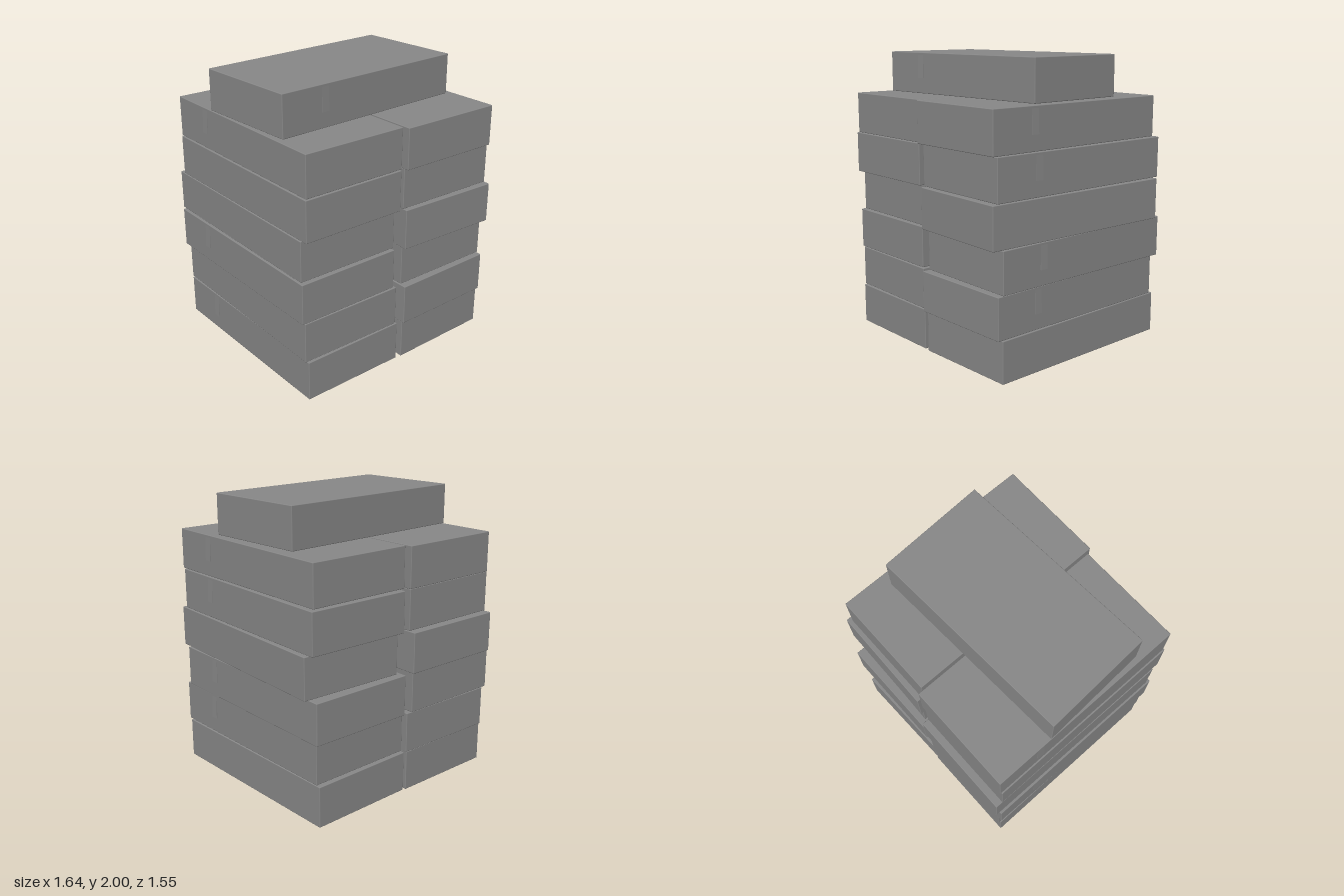
import * as THREE from 'three';
import { RoundedBoxGeometry } from 'three/addons/geometries/RoundedBoxGeometry.js';

const LENGTH = 1.453, HEIGHT = 0.284, WIDTH = 0.763, LAYER = 2 / 7;

export function createModel() {
  const group = new THREE.Group();
  const material = new THREE.MeshStandardMaterial({ color: 0x888888 });
  const boxGeometry = new RoundedBoxGeometry(LENGTH, HEIGHT, WIDTH, 2, 0.005);
  const tapeGeometry = new THREE.BoxGeometry(0.055, 0.17, 0.006);

  // One carton: long side along local x, with a tape end hanging on its +z side
  function addCarton(name, x, z, layer, turn) {
    const carton = new THREE.Group();
    carton.name = name;
    const body = new THREE.Mesh(boxGeometry, material);
    body.name = 'cartonBody';
    // The tape lifts off slightly towards its lower end
    const tape = new THREE.Mesh(tapeGeometry, material);
    tape.name = 'tapeEnd';
    tape.position.set(-0.39, HEIGHT / 2 - 0.092, WIDTH / 2);
    tape.rotation.x = -0.04;
    carton.add(body, tape);
    carton.position.set(x, layer * LAYER + LAYER / 2, z);
    carton.rotation.y = turn;
    group.add(carton);
  }

  // Six layers of two cartons: [x, z, skew, tape faces outward] for each side
  const layers = [
    { right: [-0.4, -0.005, 0.003, true], left: [0.391, -0.007, 0.02, false] },
    { right: [-0.403, -0.015, -0.012, false], left: [0.387, 0.021, 0.014, true] },
    { right: [-0.43, -0.02, 0, true], left: [0.402, -0.022, 0, true] },
    { right: [-0.416, -0.045, -0.004, false], left: [0.414, 0.037, -0.034, false] },
    { right: [-0.413, 0.006, 0, false], left: [0.396, 0.002, -0.017, true] },
    { right: [-0.404, -0.003, 0, true], left: [0.376, 0.036, 0, true] },
  ];
  layers.forEach((layer, i) => {
    for (const side of ['left', 'right']) {
      const [x, z, skew, outward] = layer[side];
      const facing = ((side === 'left') === outward ? 1 : -1) * Math.PI / 2;
      addCarton(`${side}Carton${i + 1}`, x, z, i, facing + skew);
    }
  });

  // Single carton lying across the top
  addCarton('topCarton', -0.04, 0.034, 6, 0.048);
  return group;
}
